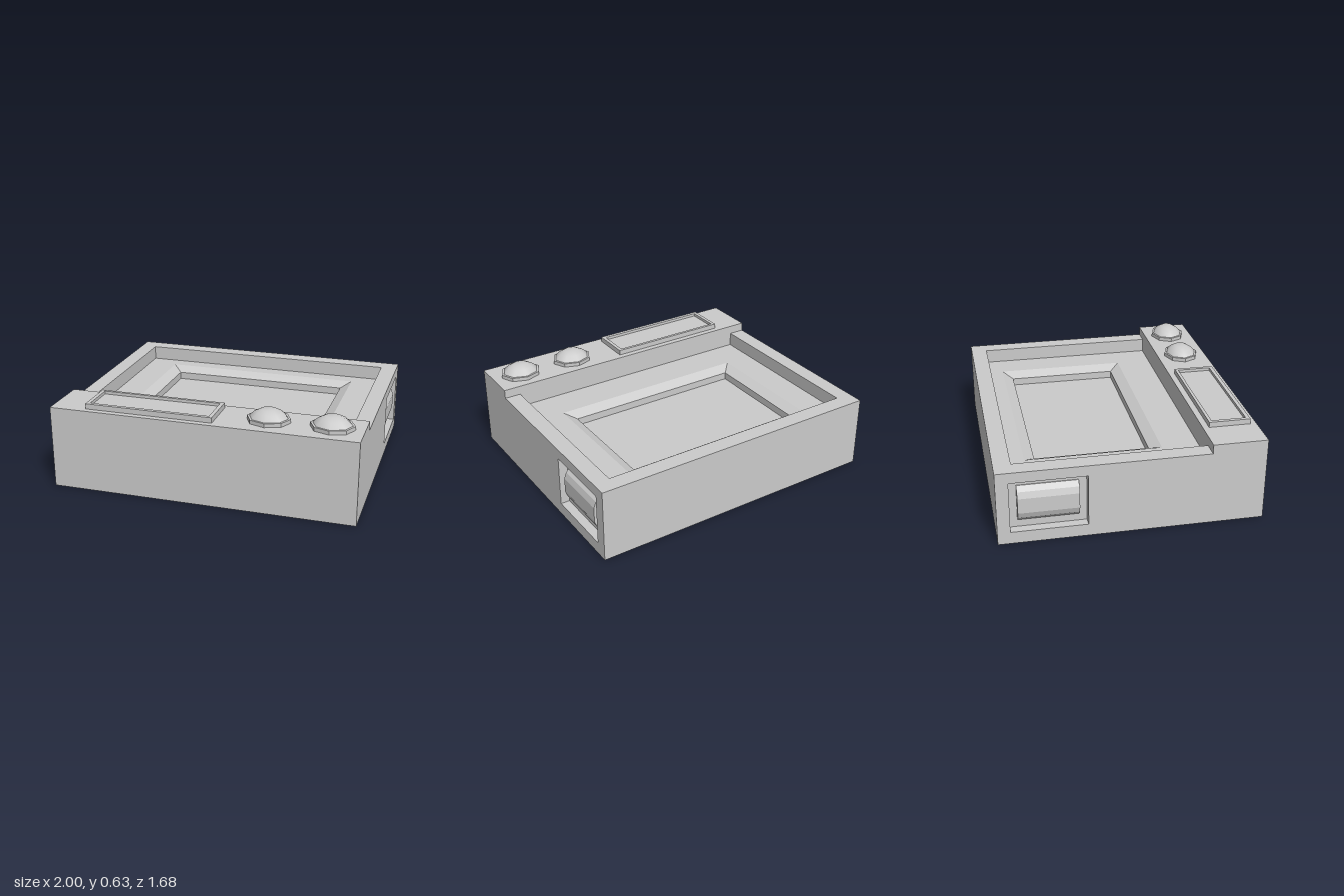
import * as THREE from 'three';

const material = new THREE.MeshStandardMaterial({ color: 0xcccccc });
const flatMaterial = new THREE.MeshStandardMaterial({ color: 0xcccccc, flatShading: true });

function addMesh(parent, name, geometry, mat = flatMaterial) {
  const mesh = new THREE.Mesh(geometry, mat);
  mesh.name = name;
  parent.add(mesh);
  return mesh;
}

// Box given by its limits on each axis
function box(x0, x1, y0, y1, z0, z1) {
  return new THREE.BoxGeometry(x1 - x0, y1 - y0, z1 - z0)
    .translate((x0 + x1) / 2, (y0 + y1) / 2, (z0 + z1) / 2);
}

function polygon(points) {
  return new THREE.Shape(points.map(([x, y]) => new THREE.Vector2(x, y)));
}

function rectangle(x0, x1, y0, y1) {
  return polygon([[x0, y0], [x1, y0], [x1, y1], [x0, y1]]);
}

function extrude(shape, depth) {
  return new THREE.ExtrudeGeometry(shape, { depth, bevelEnabled: false });
}

// Surface stepping inward through rectangles of [half width, back z, front z, y]
function loftRectangles(levels) {
  const loops = levels.map(([hx, z0, z1, y]) =>
    [[-hx, y, z1], [hx, y, z1], [hx, y, z0], [-hx, y, z0]]);
  const positions = [];
  for (let i = 0; i < loops.length - 1; i++) {
    for (let j = 0; j < 4; j++) {
      const k = (j + 1) % 4;
      const [a, b, c, d] = [loops[i][j], loops[i][k], loops[i + 1][k], loops[i + 1][j]];
      positions.push(...a, ...b, ...c, ...a, ...c, ...d);
    }
  }
  const geometry = new THREE.BufferGeometry();
  geometry.setAttribute('position', new THREE.Float32BufferAttribute(positions, 3));
  geometry.computeVertexNormals();
  return geometry;
}

function createBody() {
  const body = new THREE.Group();
  body.name = 'body';
  addMesh(body, 'base', box(-0.94, 0.94, 0, 0.31, -0.73, 0.49));
  addMesh(body, 'backWall', box(-0.94, 0.94, 0, 0.49, -0.84, -0.73));
  addMesh(body, 'frontConsole', box(-0.94, 0.94, 0, 0.55, 0.49, 0.84));

  // Stepped side walls with a window for the roller
  const profile = polygon([[-0.84, 0], [0.84, 0], [0.84, 0.49], [-0.49, 0.49], [-0.49, 0.55], [-0.84, 0.55]]);
  profile.holes.push(rectangle(0.28, 0.76, 0.08, 0.42));
  for (const side of [-1, 1]) {
    const wall = extrude(profile, 0.06).rotateY(Math.PI / 2).translate(side > 0 ? 0.94 : -1, 0, 0);
    addMesh(body, 'sideWall', wall);
    const x = side * 0.915;
    addMesh(body, 'sideRim', box(x - 0.025, x + 0.025, 0.31, 0.49, -0.73, 0.49));
  }

  // Sunken tray with a sloped frame around the inner panel
  addMesh(body, 'tray', loftRectangles([
    [0.89, -0.73, 0.49, 0.395],
    [0.69, -0.63, 0.25, 0.395],
    [0.62, -0.56, 0.18, 0.36],
    [0.62, -0.56, 0.18, 0.31],
  ]));
  return body;
}

// Faceted roller bulging out of a side window
function createRoller(side) {
  const arc = [[0.93, -0.12], [0.945, -0.12], [0.975, -0.09], [0.99, -0.05],
    [0.99, 0.05], [0.975, 0.09], [0.945, 0.12], [0.93, 0.12]];
  const shape = polygon(arc.map(([x, y]) => [side * x, 0.25 + y]));
  return extrude(shape, 0.38).translate(0, 0, -0.71);
}

// Eight-sided button: flat collar with a smooth dome
function createButton(x) {
  const button = new THREE.Group();
  button.name = 'button';
  addMesh(button, 'buttonCollar', new THREE.CylinderGeometry(0.14, 0.14, 0.025, 8).translate(0, 0.0125, 0));
  const dome = [[0.127, 0.02], [0.12, 0.033], [0.09, 0.059], [0.05, 0.079], [0, 0.081]];
  addMesh(button, 'buttonDome',
    new THREE.LatheGeometry(dome.map(([r, y]) => new THREE.Vector2(r, y)), 8), material);
  button.scale.z = 0.85;
  button.position.set(x, 0.55, 0.66);
  return button;
}

function createLabelPlate() {
  const plate = new THREE.Group();
  plate.name = 'labelPlate';
  const frame = rectangle(-0.77, 0.075, -0.8, -0.53);
  frame.holes.push(rectangle(-0.745, 0.05, -0.775, -0.55));
  addMesh(plate, 'plateFrame', extrude(frame, 0.035).rotateX(-Math.PI / 2).translate(0, 0.55, 0));
  addMesh(plate, 'plateInset', box(-0.745, 0.05, 0.55, 0.565, 0.55, 0.775));
  return plate;
}

export function createModel() {
  const model = new THREE.Group();
  model.name = 'console';
  model.add(createBody(), createLabelPlate(), createButton(0.4), createButton(0.8));
  for (const side of [-1, 1]) addMesh(model, 'roller', createRoller(side));
  return model;
}
